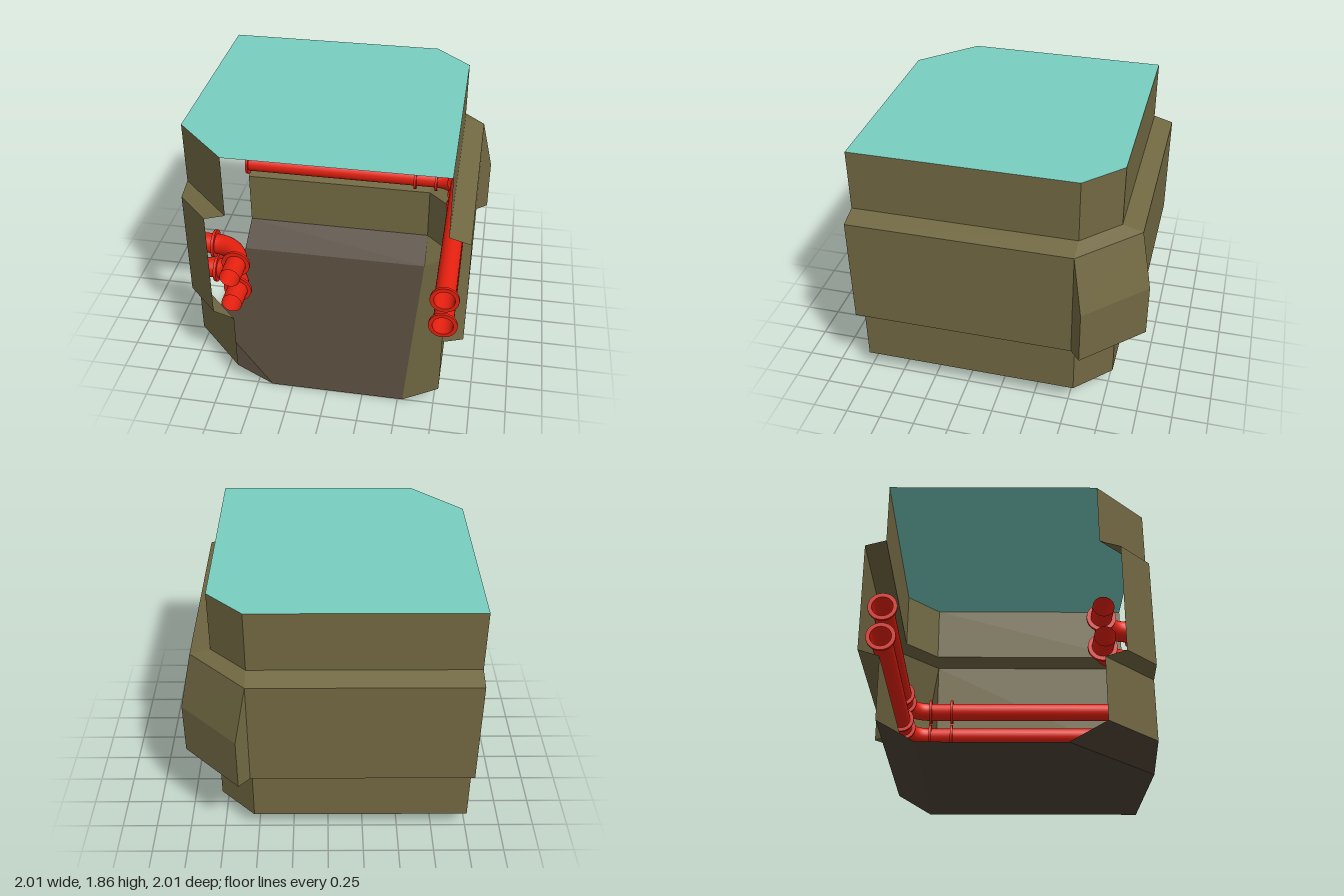
import * as THREE from 'three';
import { toCreasedNormals } from 'three/addons/utils/BufferGeometryUtils.js';

const mat = (color, flatShading = false) =>
  new THREE.MeshStandardMaterial({ color, flatShading, side: THREE.DoubleSide });
const olive = mat(0x716842, true), brown = mat(0x4f4336, true);
const teal = mat(0x78cfc0, true), red = mat(0xe6200f);

const TOP = 1.86;
const PIPE_R = 0.07, FLANGE_R = 0.097, BEND_R = 0.2, STUB = 0.16;
const PIPE_HEIGHTS = [0.715, 0.93];

// Plan outlines, pushed outwards by d
const outer = (d) => [[-1, -0.78 - d], [0.53, -0.78 - d], [0.78 + d, -0.54], [0.78 + d, 1]];
const inner = (d) => [[-0.64 - d, 1], [-1, 0.64 + d]];
// Wall section: height and outward offset, floor to ceiling
const LEVELS = [[0, -0.245], [0.143, 0], [0.575, 0], [0.62, 0.14], [1.39, 0.14], [1.43, 0], [TOP, 0]];

// Flat panels from quads of [x, y, z] corners
function panels(name, quads, material) {
  const pos = quads.flatMap(([a, b, c, d]) => [a, b, c, a, c, d]).flat();
  const geo = new THREE.BufferGeometry();
  geo.setAttribute('position', new THREE.Float32BufferAttribute(pos, 3));
  geo.computeVertexNormals();
  const mesh = new THREE.Mesh(geo, material);
  mesh.name = name;
  return mesh;
}

// One quad of the wall between level i and i + 1, on outline segment s
function wallQuad(outline, i, s) {
  const [[y0, d0], [y1, d1]] = [LEVELS[i], LEVELS[i + 1]];
  const lo = outline(d0), hi = outline(d1);
  const at = ([x, z], y) => [x, y, z];
  return [at(lo[s + 1], y0), at(lo[s], y0), at(hi[s], y1), at(hi[s + 1], y1)];
}

// Horizontal sheet from a plan outline
function sheet(name, points, y, up, material) {
  const shape = new THREE.Shape(points.map(([x, z]) => new THREE.Vector2(x, up ? -z : z)));
  const geo = new THREE.ShapeGeometry(shape).rotateX(up ? -Math.PI / 2 : Math.PI / 2);
  const mesh = new THREE.Mesh(geo, material);
  mesh.position.y = y;
  mesh.name = name;
  return mesh;
}

// Open pipe along 'x' or 'z', starting at from
function pipe(axis, length, from) {
  const geo = new THREE.CylinderGeometry(PIPE_R, PIPE_R, length, 24, 1, true);
  if (axis === 'x') geo.rotateZ(Math.PI / 2).translate(length / 2, 0, 0);
  else geo.rotateX(Math.PI / 2).translate(0, 0, length / 2);
  const mesh = new THREE.Mesh(geo, red);
  mesh.position.set(...from);
  mesh.name = 'pipe';
  return mesh;
}

// Thin collar round a pipe
function flange(axis, at) {
  const h = 0.01;
  const profile = [[PIPE_R, -h], [FLANGE_R, -h], [FLANGE_R, h], [PIPE_R, h], [PIPE_R, -h]]
    .map(([r, y]) => new THREE.Vector2(r, y));
  const geo = toCreasedNormals(new THREE.LatheGeometry(profile, 24), 0.6);
  if (axis === 'x') geo.rotateZ(Math.PI / 2);
  else geo.rotateX(Math.PI / 2);
  const mesh = new THREE.Mesh(geo, red);
  mesh.position.set(...at);
  mesh.name = 'flange';
  return mesh;
}

// Quarter bend with a collar and a straight stub at each end
function elbow(name, x, y, z) {
  const g = new THREE.Group();
  g.name = name;
  const bend = new THREE.Mesh(
    new THREE.TorusGeometry(BEND_R, PIPE_R, 24, 16, Math.PI / 2).rotateX(-Math.PI / 2), red);
  bend.name = 'bend';
  g.add(bend,
    pipe('x', STUB, [-STUB, 0, -BEND_R]), flange('x', [0, 0, -BEND_R]),
    pipe('z', STUB, [BEND_R, 0, 0]), flange('z', [BEND_R, 0, 0]));
  g.position.set(x, y, z);
  return g;
}

// Long pipe with a collar at each end
function longPipe(name, axis, length, from) {
  const g = new THREE.Group();
  g.name = name;
  const along = (t) => (axis === 'x' ? [t, 0, 0] : [0, 0, t]);
  g.add(pipe(axis, length, [0, 0, 0]), flange(axis, along(0.01)), flange(axis, along(length - 0.01)));
  g.position.set(...from);
  return g;
}

export function createModel() {
  const model = new THREE.Group();
  model.name = 'corridorCorner';

  // Walls; the back and inner skirts share the floor colour
  const outerWall = [], innerWall = [], skirt = [];
  for (let i = 0; i < LEVELS.length - 1; i++) {
    for (let s = 0; s < 3; s++) {
      if (i === 3 && s === 1) continue; // opening into the corner niche
      (i === 0 && s === 0 ? skirt : outerWall).push(wallQuad(outer, i, s));
    }
    (i === 0 ? skirt : innerWall).push(wallQuad(inner, i, 0));
  }
  model.add(panels('outerWall', outerWall, olive));
  model.add(panels('innerCornerWall', innerWall, olive));
  model.add(panels('floorSkirt', skirt, brown));

  // Niche bulging out of the outer corner, clear of the pipe bends
  const [, p, q] = outer(0.14);
  const P = [0.605, -1], Q = [1, -0.61];
  const v = ([x, z], y) => [x, y, z];
  model.add(panels('cornerNiche', [
    [v(Q, 1), v(P, 1), v(p, 1.39), v(q, 1.39)],
    [v(Q, 0.62), v(P, 0.62), v(P, 1), v(Q, 1)],
    [v(q, 0.62), v(p, 0.62), v(P, 0.62), v(Q, 0.62)],
    [v(P, 0.62), v(p, 0.62), v(p, 1.39), v(P, 1)],
    [v(q, 0.62), v(Q, 0.62), v(Q, 1), v(q, 1.39)],
  ], olive));

  // Floor and ceiling
  const d = LEVELS[0][1];
  model.add(sheet('floor', [...outer(d), ...inner(d)], 0, true, brown));
  model.add(sheet('ceiling', [...outer(0), ...inner(0)], TOP, true, teal));

  // Two tiers of pipes along the outer walls and round the inner corner
  for (const y of PIPE_HEIGHTS) {
    model.add(
      longPipe('backPipe', 'x', 1.42, [-1, y, -0.78]),
      longPipe('sidePipe', 'z', 1.42, [0.78, y, -0.42]),
      elbow('outerElbow', 0.58, y, -0.58),
      elbow('innerElbow', -0.845, y, 0.845));
  }
  return model;
}
